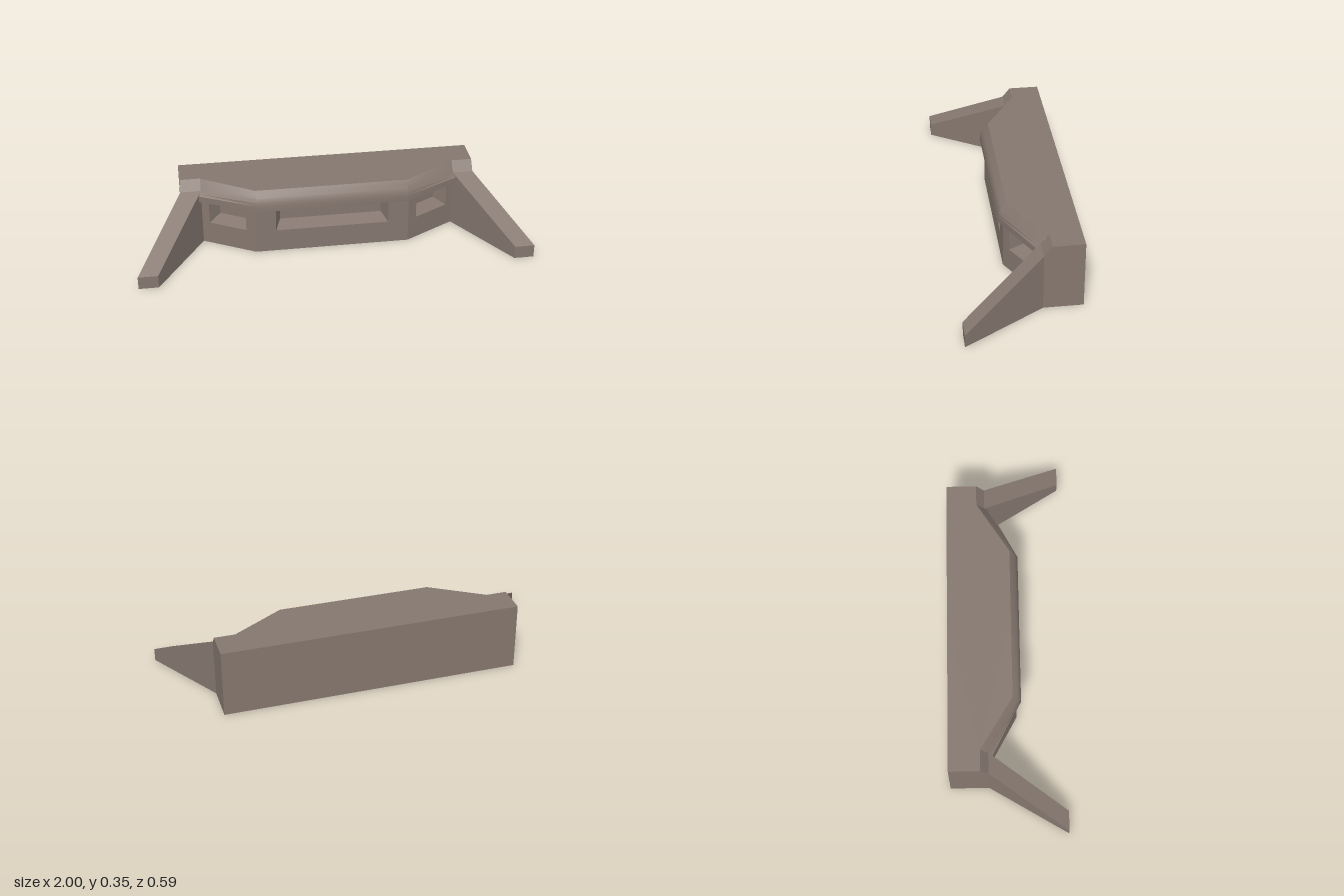
import * as THREE from 'three';
import { toCreasedNormals } from 'three/addons/utils/BufferGeometryUtils.js';

const stone = new THREE.MeshStandardMaterial({ color: 0x85776f });
stone.name = 'taupe stone';

// Convex (or star-shaped from the first corner) polygons become flat-shaded triangles
function polyMesh(name, polys, crease = 0.01) {
  const pos = [];
  for (const p of polys)
    for (let i = 1; i < p.length - 1; i++) pos.push(...p[0], ...p[i], ...p[i + 1]);
  const geo = new THREE.BufferGeometry();
  geo.setAttribute('position', new THREE.Float32BufferAttribute(pos, 3));
  geo.computeVertexNormals();
  const mesh = new THREE.Mesh(toCreasedNormals(geo, crease), stone);
  mesh.name = name;
  return mesh;
}

const mirror = (poly) => poly.map(([x, y, z]) => [-x, y, z]).reverse();
// Keeps the first corner as the fan centre when reversing
const mirrorFan = (poly) => {
  const m = mirror(poly);
  return [m[m.length - 1], ...m.slice(0, -1)];
};
const both = (polys) => polys.flatMap((p) => [p, mirrorFan(p)]);

const BACK = -0.295, H = 0.35;

// Straight wall from a to b (x, z) with one splayed window between u0 and u1
function windowWall(name, a, b, u0, u1) {
  const len = Math.hypot(b[0] - a[0], b[1] - a[1]);
  const d = [(b[0] - a[0]) / len, (b[1] - a[1]) / len];
  const at = (u, y, depth = 0) => [a[0] + d[0] * u + d[1] * depth, y, a[1] + d[1] * u - d[0] * depth];
  const rect = (l, r, y0, y1) => [at(l, y0), at(r, y0), at(r, y1), at(l, y1)];
  const outer = rect(u0, u1, 0.12, 0.24);
  const s = 0.028, deep = 0.07;
  const inner = [at(u0 + s, 0.145, deep), at(u1 - s, 0.145, deep), at(u1 - s, 0.21, deep), at(u0 + s, 0.21, deep)];
  const polys = [
    rect(0, len, 0, 0.12), rect(0, u0, 0.12, 0.24), rect(u1, len, 0.12, 0.24), inner,
  ];
  // sill, jambs and ceiling of the recess
  for (let i = 0; i < 4; i++) {
    const j = (i + 1) % 4;
    polys.push([outer[i], outer[j], inner[j], inner[i]]);
  }
  return polyMesh(name, polys);
}

export function createModel() {
  const model = new THREE.Group();
  model.name = 'bunker';

  // Main block: back, sides, roof, floor and the sloped shoulders over the wings
  const block = [
    [[0.76, 0, BACK], [-0.76, 0, BACK], [-0.76, H, BACK], [0.76, H, BACK]],
    ...both([
      [[0.76, 0, -0.1], [0.76, 0, BACK], [0.76, H, BACK], [0.76, H, -0.14], [0.76, 0.3, -0.1]],
      [[0.655, 0.3, -0.1], [0.76, 0.3, -0.1], [0.76, H, -0.14], [0.655, H, -0.14]],
      [[0.655, H, -0.14], [0.76, H, -0.14], [0.76, H, BACK], [0, H, BACK], [0, H, 0.025], [0.39, H, 0.025]],
      [[0.655, 0, -0.1], [0.395, 0, 0.045], [0, 0, 0.045], [0, 0, BACK], [0.76, 0, BACK], [0.76, 0, -0.1]],
    ]),
  ];
  model.add(polyMesh('block', block));

  // Three front walls with recessed windows
  const w = 0.395, e = 0.655;
  model.add(windowWall('frontWall', [-w, 0.045], [w, 0.045], w - 0.29, w + 0.29));
  model.add(windowWall('leftWall', [w, 0.045], [e, -0.1], 0.052, 0.257));
  const len = Math.hypot(e - w, 0.145);
  model.add(windowWall('rightWall', [-e, -0.1], [-w, 0.045], len - 0.257, len - 0.052));

  // Rounded overhanging rim: (z, y) sections at the middle and at the wings
  const mid = [[0.045, 0.24], [0.067, 0.248], [0.067, 0.282], [0.063, 0.3], [0.055, 0.318], [0.043, 0.333], [0.025, H]];
  const end = [[-0.1, 0.24], [-0.079, 0.248], [-0.079, 0.28], [-0.088, 0.289], [-0.098, 0.3], [-0.115, 0.32], [-0.14, H]];
  const cx = (i) => 0.395 - 0.01 * Math.min(i, 1) + (i === 6 ? 0.005 : 0);
  const ex = (i) => Math.max(0.655, 0.655 + (end[i][0] + 0.1) * 0.62);
  const rim = [];
  for (let i = 0; i < mid.length - 1; i++) {
    const M = (k) => [cx(k), mid[k][1], mid[k][0]];
    const E = (k) => [ex(k), end[k][1], end[k][0]];
    const neg = ([x, y, z]) => [-x, y, z];
    rim.push([neg(M(i)), M(i), M(i + 1), neg(M(i + 1))]);
    rim.push(...both([[M(i), E(i), E(i + 1), M(i + 1)]]));
  }
  model.add(polyMesh('rim', rim, 0.5));

  // Splayed wing walls with sloping tops
  const wing = [
    [[1, 0, 0.295], [0.76, 0, -0.1], [0.76, 0.3, -0.1], [1, 0.067, 0.295]],
    [[0.655, 0, -0.1], [0.9, 0, 0.295], [0.9, 0.067, 0.295], [0.655, 0.3, -0.1]],
    [[0.655, 0.3, -0.1], [0.9, 0.067, 0.295], [1, 0.067, 0.295], [0.76, 0.3, -0.1]],
    [[0.9, 0, 0.295], [1, 0, 0.295], [1, 0.067, 0.295], [0.9, 0.067, 0.295]],
    [[0.9, 0, 0.295], [0.655, 0, -0.1], [0.76, 0, -0.1], [1, 0, 0.295]],
  ];
  model.add(polyMesh('leftWing', wing));
  model.add(polyMesh('rightWing', wing.map(mirrorFan)));

  return model;
}
